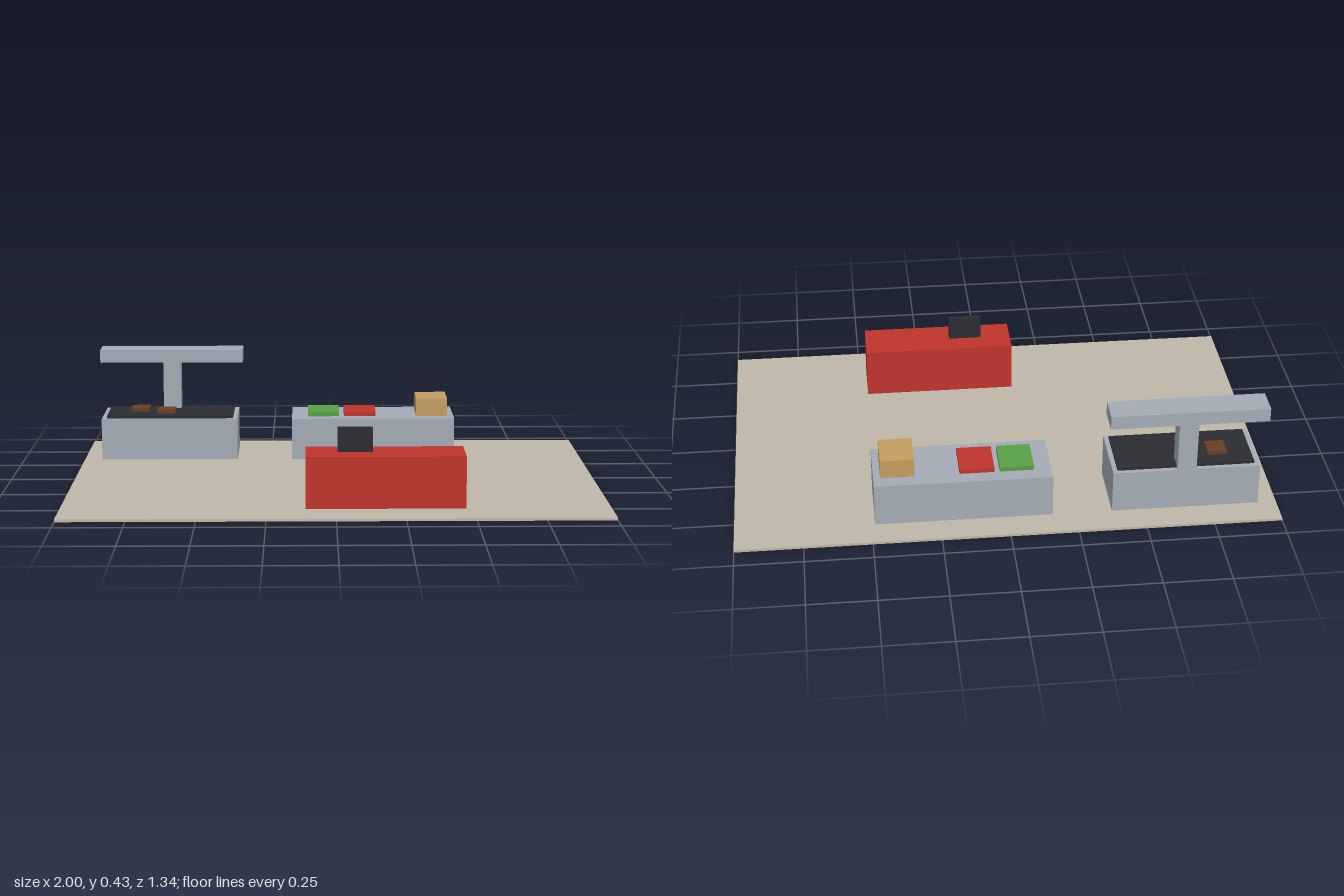
import * as THREE from 'three';

const material = (name, color) => {
  const m = new THREE.MeshStandardMaterial({ color });
  m.name = name;
  return m;
};

export function createModel() {
  const floorBeige = material('floorBeige', 0xbfb6a8);
  const steel = material('steel', 0xa3abb4);
  const red = material('red', 0xc0342c);
  const charcoal = material('charcoal', 0x2b2b33);
  const cardboard = material('cardboard', 0xc49d60);
  const green = material('green', 0x57a046);
  const brown = material('brown', 0x6b3f22);

  const model = new THREE.Group();
  model.name = 'kitchenSet';

  const group = (name) => {
    const g = new THREE.Group();
    g.name = name;
    model.add(g);
    return g;
  };

  // Box given by its extents along each axis
  const box = (parent, name, mat, [x0, x1], [y0, y1], [z0, z1]) => {
    const mesh = new THREE.Mesh(new THREE.BoxGeometry(x1 - x0, y1 - y0, z1 - z0), mat);
    mesh.position.set((x0 + x1) / 2, (y0 + y1) / 2, (z0 + z1) / 2);
    mesh.name = name;
    parent.add(mesh);
  };

  const ground = 0.01;
  const worktop = 0.175;
  const benchDepth = [-0.562, -0.312];

  // Floor slab
  box(model, 'floor', floorBeige, [-1, 1], [0, ground], [-0.671, 0.671]);

  // Grill with hotplate, patties and extractor hood
  const grill = group('grill');
  box(grill, 'grillBase', steel, [-0.93, -0.385], [ground, worktop], benchDepth);
  box(grill, 'hotplate', charcoal, [-0.91, -0.403], [worktop, 0.185], [-0.545, -0.327]);
  box(grill, 'hoodPost', steel, [-0.692, -0.621], [worktop, 0.378], [-0.563, -0.49]);
  box(grill, 'hood', steel, [-0.947, -0.367], [0.378, 0.43], [-0.58, -0.473]);
  for (const [x, z] of [[-0.782, -0.454], [-0.674, -0.417]]) {
    box(grill, 'patty', brown, [x - 0.036, x + 0.036], [0.185, 0.2], [z - 0.036, z + 0.036]);
  }

  // Preparation bench with ingredient trays and a carton
  const bench = group('preparationBench');
  const trayDepth = [-0.508, -0.363];
  box(bench, 'benchBase', steel, [-0.165, 0.488], [ground, worktop], benchDepth);
  box(bench, 'greenTray', green, [-0.1, 0.025], [worktop, 0.193], trayDepth);
  box(bench, 'redTray', red, [0.045, 0.173], [worktop, 0.193], trayDepth);
  box(bench, 'carton', cardboard, [0.337, 0.462], [worktop, 0.248], trayDepth);

  // Serving counter with till screen
  const counter = group('servingCounter');
  box(counter, 'counterBase', red, [-0.11, 0.472], [ground, 0.202], [0.347, 0.528]);
  box(counter, 'tillScreen', charcoal, [0.007, 0.135], [0.202, 0.293], [0.429, 0.447]);

  return model;
}
